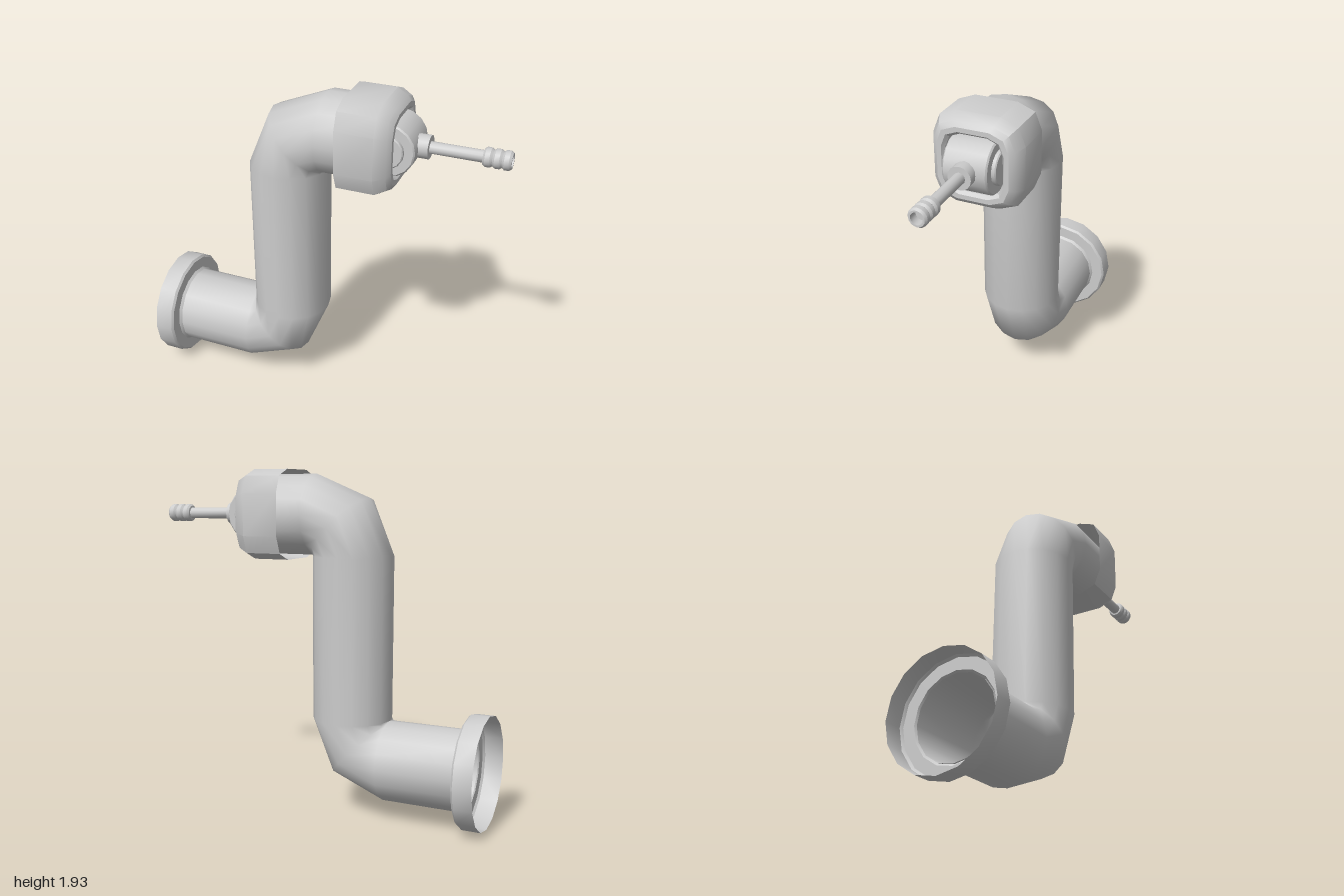
import * as THREE from 'three';
import { toCreasedNormals } from 'three/addons/utils/BufferGeometryUtils.js';

const material = new THREE.MeshStandardMaterial({ color: 0xcccccc, side: THREE.DoubleSide });
const SIDES = 16;
const R = 0.225; // pipe radius, also the bend radius
const LOW = 0.315, HIGH = 1.68; // heights of the two horizontal axes

// Joins closed rings of equal point count into one surface.
function loft(rings) {
  const n = rings[0].length, index = [];
  for (let i = 0; i < rings.length - 1; i++) {
    for (let j = 0; j < n; j++) {
      const a = i * n + j, b = i * n + (j + 1) % n;
      index.push(a, b, a + n, b, b + n, a + n);
    }
  }
  const g = new THREE.BufferGeometry().setFromPoints(rings.flat());
  g.setIndex(index);
  g.computeVertexNormals();
  return g;
}

// Circle around (x, y), facing along angle t in the xy plane.
function pipeRing(x, y, t) {
  return Array.from({ length: SIDES }, (_, j) => {
    const a = j / SIDES * Math.PI * 2, c = Math.cos(a) * R;
    return new THREE.Vector3(x - Math.sin(t) * c, y + Math.cos(t) * c, Math.sin(a) * R);
  });
}

// Square with cut corners, scaled to half-width h, at a given x.
function hoodRing(x, h) {
  const quarter = [[1, -0.47], [1, 0.47], [0.85, 0.85]];
  const pts = [];
  for (let q = 0; q < 4; q++) {
    for (let [y, z] of quarter) {
      for (let k = 0; k < q; k++) [y, z] = [-z, y];
      pts.push(new THREE.Vector3(x, HIGH + y * h, z * h));
    }
  }
  return pts;
}

function lathe(points, segments = SIDES, crease = 0.6) {
  const g = new THREE.LatheGeometry(points.map(p => new THREE.Vector2(...p)), segments);
  return toCreasedNormals(g, crease);
}

export function createModel() {
  const model = new THREE.Group();
  model.name = 'pipeSpout';
  const add = (name, geometry, x = 0, y = 0) => {
    const mesh = new THREE.Mesh(geometry, material);
    mesh.name = name;
    mesh.position.set(x, y, 0);
    model.add(mesh);
  };
  // Turned part whose profile is [radius, x]
  const addAlongX = (name, points, y, segments) =>
    add(name, lathe(points, segments).rotateZ(-Math.PI / 2), 0, y);

  // S-shaped pipe with two faceted elbows
  const rings = [pipeRing(-0.88, LOW, 0)];
  for (const t of [0, Math.PI / 4, Math.PI / 2]) {
    rings.push(pipeRing(-0.43 + R * Math.sin(t), LOW + R - R * Math.cos(t), t));
  }
  for (const t of [Math.PI / 2, Math.PI / 4, 0]) {
    rings.push(pipeRing(0.02 - R * Math.sin(t), HIGH - R + R * Math.cos(t), t));
  }
  rings.push(pipeRing(0.28, HIGH, 0));
  add('pipe', loft(rings));

  // Open mounting flange
  addAlongX('flange', [[0.315, -1], [0.315, -0.897], [0.303, -0.885],
    [0.237, -0.885], [R, -0.87]], LOW);

  // Hood shell with a bevelled mouth and a recess
  const hood = loft([[0.145, 0.25], [0.355, 0.25], [0.415, 0.22], [0.435, 0.195],
    [0.435, 0.17], [0.415, 0.155], [0.29, 0.155], [0.29, 0.001]].map(p => hoodRing(...p)));
  add('hood', toCreasedNormals(hood, 0.6));

  // Swivel barrel and its side pivots, turned around the z axis
  const drum = (r, half, bevel) => lathe([[0, -half], [r - bevel, -half], [r, bevel - half],
    [r, half - bevel], [r - bevel, half], [0, half]]).rotateX(Math.PI / 2);
  add('swivelBarrel', drum(0.145, 0.12, 0.008), 0.387, HIGH);
  add('pivotDiscs', drum(0.092, 0.143, 0.006), 0.385, HIGH);

  // Collar, rod and ribbed hollow tip
  const rodY = HIGH + 0.003;
  addAlongX('collar', [[0.063, 0.48], [0.063, 0.58], [0.03, 0.58]], rodY);
  addAlongX('rod', [[0.032, 0.57], [0.032, 0.87]], rodY, 12);
  const tip = [[0.03, 0.853]];
  for (let i = 0; i < 3; i++) {
    const x = 0.855 + i * 0.0483;
    tip.push([0.042, x], [0.051, x + 0.011], [0.051, x + 0.036], [0.042, x + 0.0483]);
  }
  tip.push([0.032, 1], [0.032, 0.95], [0, 0.95]);
  addAlongX('tip', tip, rodY);

  return model;
}
